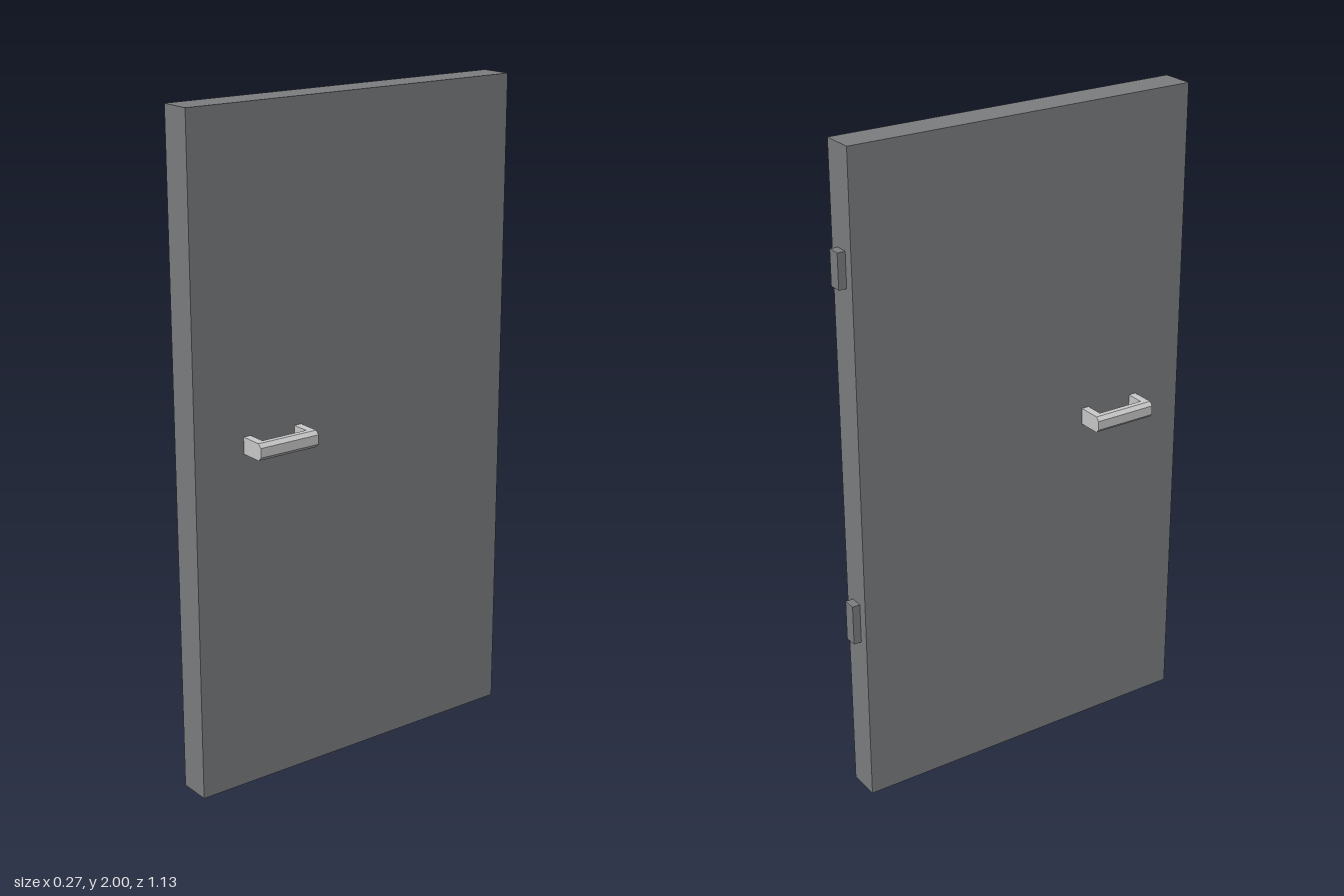
import * as THREE from 'three';

const doorMat = new THREE.MeshStandardMaterial({ color: 0x7d7e80, flatShading: true });
const handleMat = new THREE.MeshStandardMaterial({ color: 0xcccccc, flatShading: true });

// Box given by its minimum and maximum corners
function box(name, min, max, mat) {
  const size = max.map((v, i) => v - min[i]);
  const mesh = new THREE.Mesh(new THREE.BoxGeometry(...size), mat);
  mesh.position.set(...max.map((v, i) => (v + min[i]) / 2));
  mesh.name = name;
  return mesh;
}

// Pull handle: two arms and a grip whose outer long edges are chamfered
function makeHandle(name, side, z0, z1) {
  const group = new THREE.Group();
  group.name = name;
  const y0 = 1.025, y1 = 1.075, inner = 0.106, outer = 0.133, c = 0.011, arm = 0.024;

  const pts = [[inner, y0], [outer - c, y0], [outer, y0 + c], [outer, y1 - c], [outer - c, y1], [inner, y1]];
  const shape = new THREE.Shape(pts.map(([x, y]) => new THREE.Vector2(side * x, y)));
  const grip = new THREE.Mesh(
    new THREE.ExtrudeGeometry(shape, { depth: z1 - z0, bevelEnabled: false }), handleMat);
  grip.position.z = z0;
  grip.name = 'handleGrip';
  group.add(grip);

  const xs = [side * 0.05, side * inner].sort((a, b) => a - b);
  for (const z of [z0, z1 - arm]) {
    group.add(box('handleArm', [xs[0], y0, z], [xs[1], y1, z + arm], handleMat));
  }
  return group;
}

export function createModel() {
  const model = new THREE.Group();
  model.name = 'door';

  // Door leaf
  model.add(box('doorLeaf', [-0.05, 0, -0.543], [0.05, 2, 0.567], doorMat));

  // Hinges on the back edge
  for (const [y0, y1] of [[0.515, 0.64], [1.605, 1.71]]) {
    model.add(box('hinge', [-0.02, y0, -0.567], [0.02, y1, -0.543], doorMat));
  }

  // One handle on each face
  model.add(makeHandle('leftHandle', 1, 0.208, 0.405));
  model.add(makeHandle('rightHandle', -1, 0.212, 0.41));
  return model;
}
